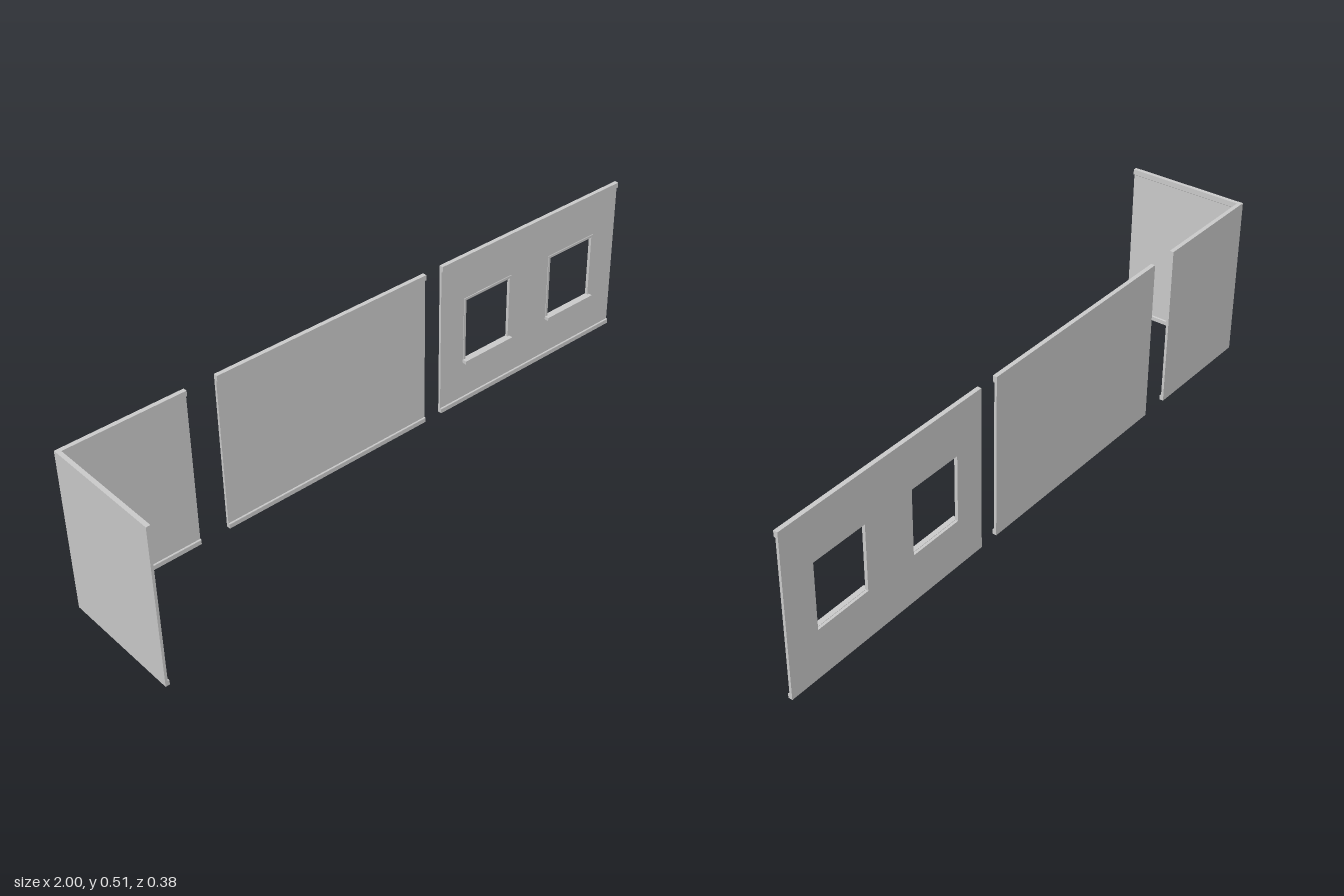
import * as THREE from 'three';

const H = 0.511, T = 0.008, BACK = -0.192;
const FACE = BACK + T; // room-side face of the walls
const material = new THREE.MeshStandardMaterial({ color: 0xcccccc, flatShading: true });

function rect(Type, x0, y0, x1, y1) {
  const s = new Type();
  s.moveTo(x0, y0);
  s.lineTo(x1, y0);
  s.lineTo(x1, y1);
  s.lineTo(x0, y1);
  s.closePath();
  return s;
}

// Extrudes a shape along +z, starting at z
function slab(name, shape, z, depth) {
  const mesh = new THREE.Mesh(
    new THREE.ExtrudeGeometry(shape, { depth, bevelEnabled: false }), material);
  mesh.name = name;
  mesh.position.z = z;
  return mesh;
}

// Moulding profile (outward, height) run along x, standing on the wall face
function moulding(name, points, x0, x1) {
  const shape = new THREE.Shape(points.map(([d, y]) => new THREE.Vector2(-d, y)));
  const mesh = slab(name, shape, FACE, x1 - x0);
  mesh.rotation.y = Math.PI / 2;
  mesh.position.x = x0;
  return mesh;
}

const SKIRTING = [[0, 0], [0.005, 0], [0.005, 0.014], [0.004, 0.0155], [0, 0.0155]];
const CORNICE = [[0, 0.491], [0.001, 0.491], [0.005, 0.494], [0.005, H], [0, H]];

// Wall panel along x with optional window openings [x0, x1]
function wall(name, x0, x1, windows = []) {
  const group = new THREE.Group();
  group.name = name;
  const y0 = 0.15, y1 = 0.357, w = 0.008;
  const panel = rect(THREE.Shape, x0, 0, x1, H);
  for (const [a, b] of windows) {
    panel.holes.push(rect(THREE.Path, a, y0, b, y1));

    // Thin architrave around the opening
    const trim = rect(THREE.Shape, a - w, y0, b + w, y1 + w);
    trim.holes.push(rect(THREE.Path, a, y0 + 0.0005, b, y1));
    group.add(slab('windowTrim', trim, FACE, 0.002));

    // Projecting sill
    group.add(slab('windowSill', rect(THREE.Shape, a - 0.009, 0.14, b + 0.007, y0 + 0.001), FACE, 0.015));
  }
  group.add(slab('panel', panel, BACK, T));
  group.add(moulding('skirting', SKIRTING, x0, x1));
  group.add(moulding('cornice', CORNICE, x0, x1));
  return group;
}

export function createModel() {
  const model = new THREE.Group();
  model.name = 'wallSet';

  model.add(wall('cornerBackWall', -1, -0.617));
  model.add(wall('plainWall', -0.522, 0.205));
  model.add(wall('windowWall', 0.268, 1, [[0.367, 0.544], [0.717, 0.897]]));

  // Side wall: the same panel turned so its room side faces +x
  const side = wall('cornerSideWall', -0.192, 0.192);
  side.rotation.y = Math.PI / 2;
  side.position.x = -1 - BACK;
  model.add(side);

  return model;
}
